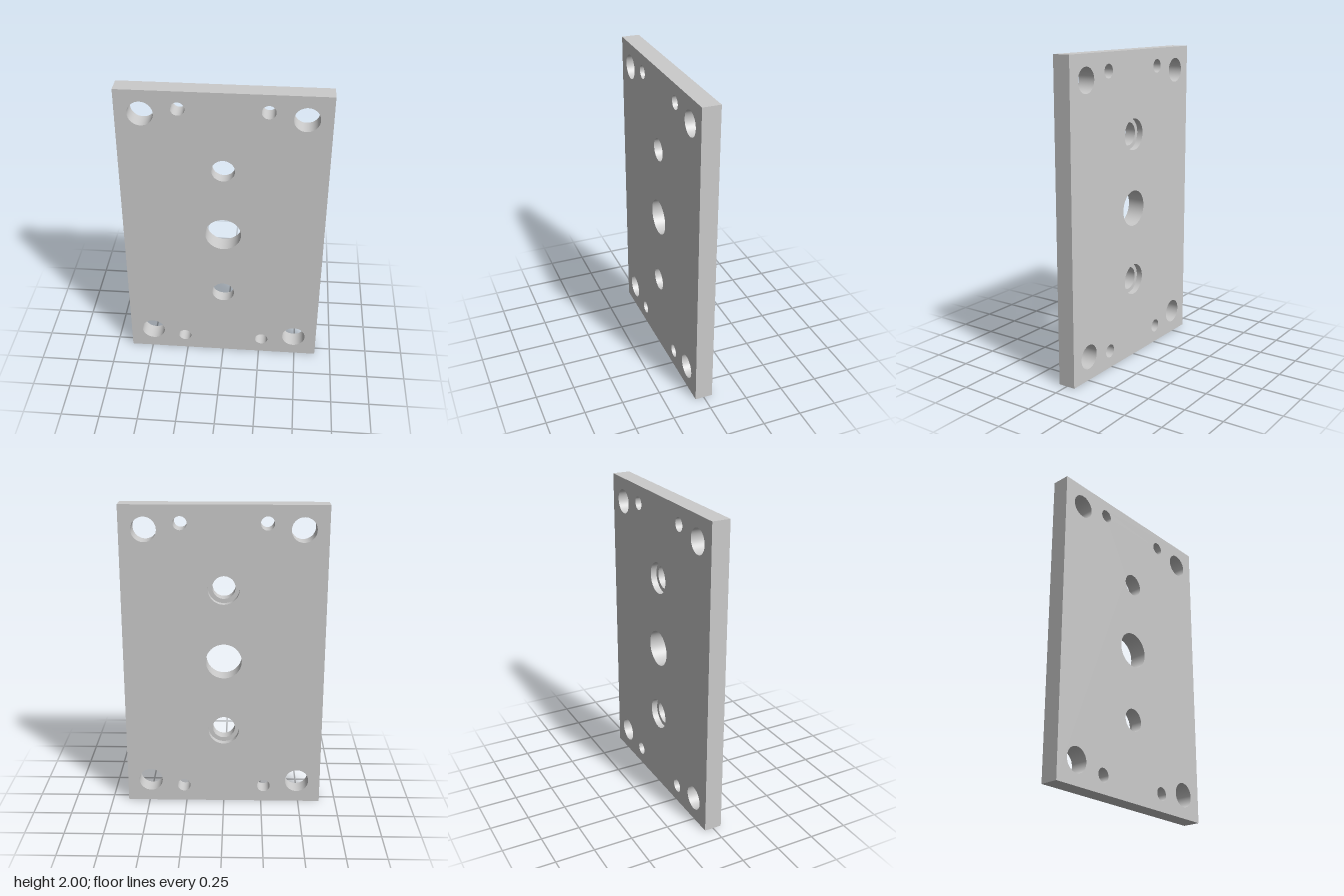
import * as THREE from 'three';
import { mergeGeometries } from 'three/addons/utils/BufferGeometryUtils.js';

const WIDTH = 1.286, HEIGHT = 2, HALF = 0.057; // HALF = half the thickness
const FLOOR = -HALF + 0.04;                    // floor of the rear counterbores
const SEGMENTS = 48;

const material = new THREE.MeshStandardMaterial({ color: 0xcccccc });

// Holes, relative to the plate centre
const holes = [{ name: 'centreHole', x: 0, y: 0, r: 0.115 }];
for (const sy of [-1, 1]) {
  holes.push({ name: 'counterboredHole', x: 0, y: sy * 0.477, r: 0.073, bore: 0.1 });
  for (const sx of [-1, 1]) {
    holes.push({ name: 'cornerHole', x: sx * 0.489, y: sy * 0.848, r: 0.078 });
    holes.push({ name: 'pinHole', x: sx * 0.267, y: sy * 0.887, r: 0.043 });
  }
}

// Flat face with all holes cut out; the rear one has the wider counterbores
function faceGeometry(rear) {
  const w = WIDTH / 2, h = HEIGHT / 2;
  const shape = new THREE.Shape([
    new THREE.Vector2(-w, -h), new THREE.Vector2(w, -h),
    new THREE.Vector2(w, h), new THREE.Vector2(-w, h),
  ]);
  for (const { x, y, r, bore } of holes) {
    shape.holes.push(new THREE.Path().absarc(x, y, rear && bore ? bore : r, 0, Math.PI * 2, true));
  }
  const geometry = new THREE.ShapeGeometry(shape, SEGMENTS / 2);
  if (rear) geometry.rotateY(Math.PI); // the hole pattern is symmetric
  return geometry.translate(0, 0, rear ? -HALF : HALF);
}

// Inner wall of a hole, profile running front to rear, with sharp steps
function liningGeometry({ r, bore }) {
  const profile = bore
    ? [[r, HALF], [r, FLOOR], [bore, FLOOR], [bore, -HALF]]
    : [[r, HALF], [r, -HALF]];
  const points = profile.map(([a, b]) => new THREE.Vector2(a, b));
  const rings = points.slice(1).map((p, i) => new THREE.LatheGeometry([points[i], p], SEGMENTS));
  return mergeGeometries(rings).rotateX(Math.PI / 2);
}

export function createModel() {
  const group = new THREE.Group();
  group.name = 'mountingPlate';
  const add = (name, geometry, x = 0, y = 0) => {
    const mesh = new THREE.Mesh(geometry, material);
    mesh.name = name;
    mesh.position.set(x, y + HEIGHT / 2, 0);
    group.add(mesh);
  };

  add('frontFace', faceGeometry(false));
  add('rearFace', faceGeometry(true));

  // Four outer edges: a box without its front and rear sides
  const edges = new THREE.BoxGeometry(WIDTH, HEIGHT, HALF * 2);
  edges.setIndex(Array.from(edges.index.array.slice(0, 24)));
  edges.clearGroups();
  add('outerEdges', edges);

  for (const hole of holes) add(hole.name, liningGeometry(hole), hole.x, hole.y);
  return group;
}
